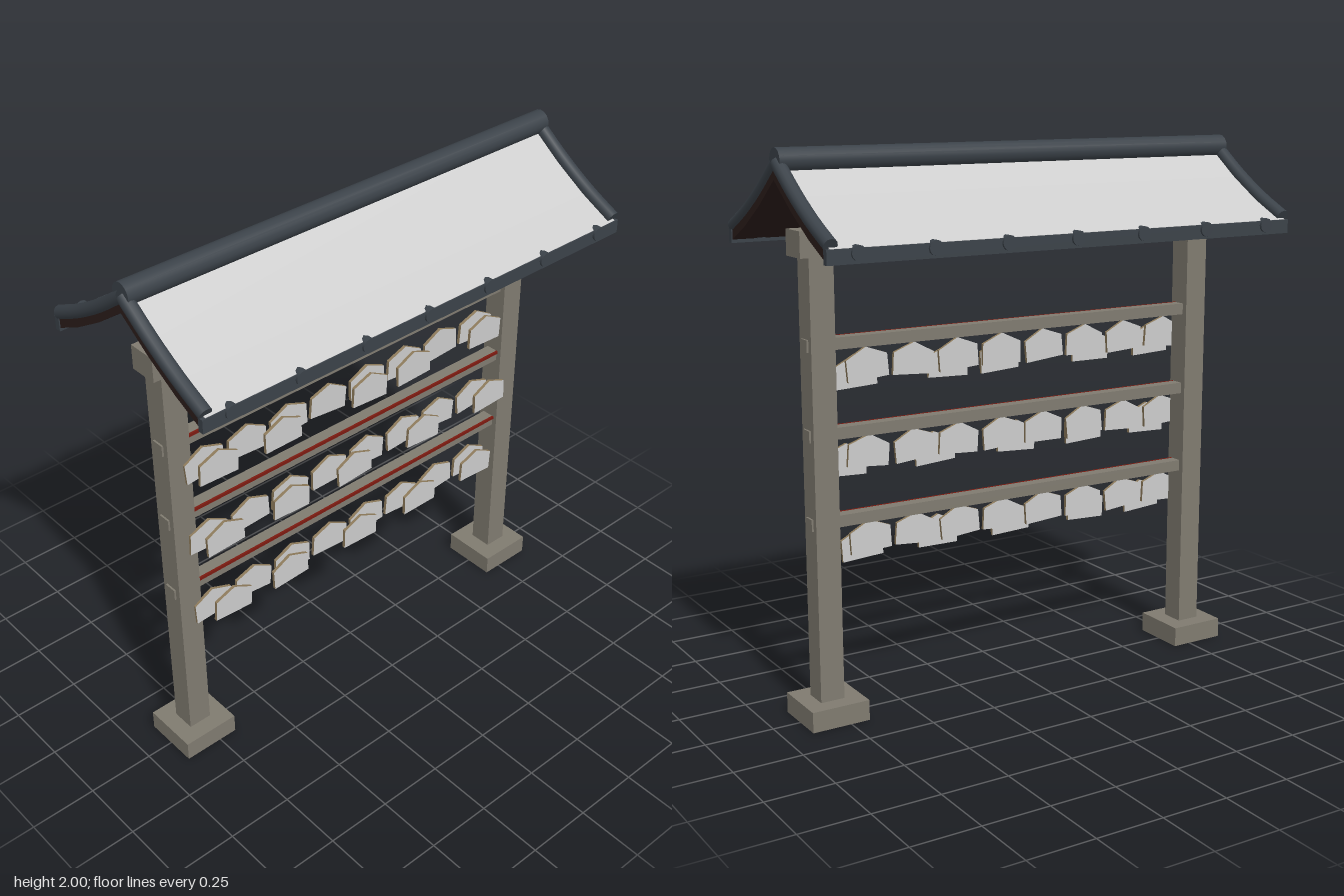
import * as THREE from 'three';

export function createModel() {
  const model = new THREE.Group();
  const paint = (name, color) => {
    const m = new THREE.MeshStandardMaterial({ color });
    m.name = name;
    return m;
  };
  const wood = paint('weatheredWood', 0x807b70);
  const tile = paint('slateTile', 0x3b4249);
  const pale = paint('paleGrey', 0xcccccc);
  const brown = paint('darkBrown', 0x2c1d1b);
  const tan = paint('plaqueEdge', 0x8f7c5c);
  const red = paint('redTrim', 0x7c1a10);

  const add = (name, geometry, material, x = 0, y = 0, z = 0) => {
    const mesh = new THREE.Mesh(geometry, material);
    mesh.name = name;
    mesh.position.set(x, y, z);
    model.add(mesh);
    return mesh;
  };
  const box = (name, w, h, d, material, x, y, z) =>
    add(name, new THREE.BoxGeometry(w, h, d), material, x, y, z);

  // Posts on square footings that are recessed underneath
  const square = (Type, r) =>
    new Type([[-r, -r], [r, -r], [r, r], [-r, r]].map(([x, y]) => new THREE.Vector2(x, y)));
  const footing = square(THREE.Shape, 0.109);
  footing.holes.push(square(THREE.Path, 0.065));
  const footingGeo = new THREE.ExtrudeGeometry(footing, { depth: 0.045, bevelEnabled: false });
  footingGeo.rotateX(-Math.PI / 2);
  for (const s of [-1, 1]) {
    box('post', 0.09, 1.63, 0.09, wood, s * 0.79, 0.835, 0);
    add('footingRing', footingGeo, wood, s * 0.788, 0, 0);
    box('footingTop', 0.218, 0.03, 0.218, wood, s * 0.788, 0.06, 0);
  }
  box('topBeam', 1.74, 0.09, 0.11, wood, 0, 1.685, 0);

  // Hanging plaques: pale faces, tan edges
  const plaqueShape = new THREE.Shape(
    [[-0.08, -0.058], [0.08, -0.058], [0.08, 0.022], [0, 0.058], [-0.08, 0.022]]
      .map(([x, y]) => new THREE.Vector2(x, y)));
  const plaqueGeo = new THREE.ExtrudeGeometry(plaqueShape, { depth: 0.012, bevelEnabled: false });
  const plaque = (x, y, z, tilt) => {
    add('plaque', plaqueGeo, [pale, tan], x, y, z).rotation.z = tilt;
  };

  // Three rails, each with trim and two layers of plaques
  const frontRows = [
    [-0.65, -0.37, 0.035, 0.25, 0.62],
    [-0.64, -0.34, -0.04, 0.31, 0.665],
    [-0.62, -0.355, -0.01, 0.3, 0.61],
  ];
  const tilts = [0.08, -0.06, 0.05, -0.1, 0.01, -0.07, 0.06, -0.09];
  [1.341, 1.029, 0.717].forEach((y, row) => {
    box('rail', 1.684, 0.042, 0.048, wood, 0, y, 0);
    box('railTrim', 1.49, 0.011, 0.008, red, 0, y + 0.016, 0.026);
    for (let i = 0; i < 8; i++) {
      plaque(-0.697 + i * 0.183, y - 0.091, 0.042, tilts[(i + row) % 8]);
    }
    frontRows[row].forEach((x, i) => plaque(x, y - 0.118, 0.06, tilts[(i * 3 + row + 1) % 8] * 0.7));
  });

  // Curved roof, described by the height of its surface at depth z
  const roofY = (z) => 1.94 - 0.78 * Math.abs(z) + 0.45 * z * z;
  const steps = [-0.39, -0.26, -0.13, 0, 0.13, 0.26, 0.39];
  const roofLayer = (name, top, bottom, width, material) => {
    const points = steps.map((z) => new THREE.Vector2(z, roofY(z) + bottom));
    points.push(...[...steps].reverse().map((z) => new THREE.Vector2(z, roofY(z) + top)));
    const geo = new THREE.ExtrudeGeometry(new THREE.Shape(points), { depth: width, bevelEnabled: false });
    geo.translate(0, 0, -width / 2).rotateY(Math.PI / 2);
    add(name, geo, material);
  };
  roofLayer('roofUnderside', -0.004, -0.045, 1.86, brown);
  roofLayer('roofPanel', 0.003, -0.004, 1.84, pale);

  // Ridge tile
  const ridgeGeo = new THREE.CylinderGeometry(0.042, 0.042, 1.85, 16);
  ridgeGeo.rotateZ(Math.PI / 2);
  add('ridgeTile', ridgeGeo, tile, 0, 1.958, 0);

  // Rounded tiles down the gable edges, closed at the eaves
  const knobGeo = new THREE.CylinderGeometry(0.026, 0.026, 0.035, 12);
  knobGeo.rotateX(Math.PI / 2);
  for (const s of [-1, 1]) {
    const path = new THREE.CatmullRomCurve3(
      [0, 0.13, 0.26, 0.385].map((z) => new THREE.Vector3(0, roofY(z) + 0.01, s * z)));
    const tubeGeo = new THREE.TubeGeometry(path, 9, 0.025, 12);
    const end = path.getPoint(1);
    const target = end.clone().add(path.getTangent(1));
    for (const side of [-1, 1]) {
      add('gableTile', tubeGeo, tile, side * 0.915, 0, 0);
      const cap = add('gableTileEnd', new THREE.CircleGeometry(0.025, 12), tile, side * 0.915, end.y, end.z);
      cap.lookAt(side * 0.915, target.y, target.z);
    }

    // Eave band with round tile ends
    box('eaveBand', 1.868, 0.05, 0.022, tile, 0, 1.681, s * 0.383);
    for (let i = -3; i <= 3; i++) {
      add('eaveTileEnd', knobGeo, tile, i * 0.275, 1.69, s * 0.385);
    }
  }
  return model;
}
